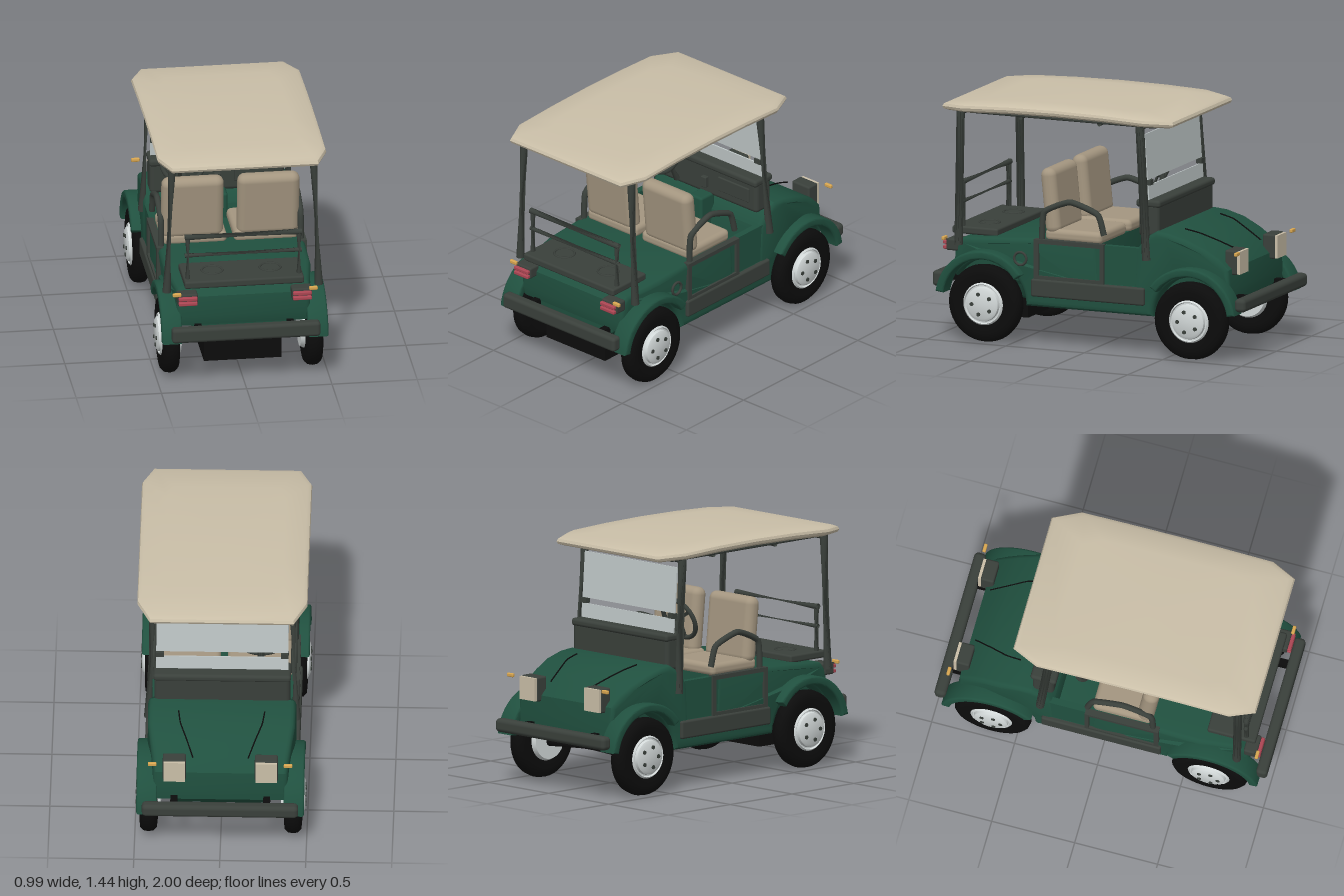
import * as THREE from 'three';
import { toCreasedNormals } from 'three/addons/utils/BufferGeometryUtils.js';
import { RoundedBoxGeometry } from 'three/addons/geometries/RoundedBoxGeometry.js';

const paint = (name, color, side = THREE.FrontSide) => {
  const m = new THREE.MeshStandardMaterial({ color, side });
  m.name = name;
  return m;
};

export function createModel() {
  const green = paint('green paint', 0x20503f);
  const dark = paint('dark trim', 0x3a403b, THREE.DoubleSide);
  const black = paint('black rubber', 0x0c0c0c);
  const cream = paint('cream roof', 0xcabfa8);
  const tan = paint('tan seat', 0xa49680);
  const silver = paint('silver rim', 0xd2d8d8);
  const glass = paint('pale glass', 0xc0c8c8, THREE.DoubleSide);
  const red = paint('red lamp', 0xac4653);
  const amber = paint('amber lamp', 0xd8a650);
  const cart = new THREE.Group();
  cart.name = 'golfCart';

  const add = (name, geo, mat, parent = cart) => {
    const m = new THREE.Mesh(geo, mat);
    m.name = name;
    parent.add(m);
    return m;
  };
  // Box given by its limits, optionally rounded
  const box = (name, mat, x0, x1, y0, y1, z0, z1, r = 0) => {
    const s = [Math.abs(x1 - x0), y1 - y0, z1 - z0];
    const m = add(name, r ? new RoundedBoxGeometry(...s, 3, r) : new THREE.BoxGeometry(...s), mat);
    m.position.set((x0 + x1) / 2, (y0 + y1) / 2, (z0 + z1) / 2);
    return m;
  };
  // Round bar through points
  const rod = (name, mat, pts, r, sides = 10) => {
    const c = new THREE.CatmullRomCurve3(pts.map(p => new THREE.Vector3(...p)), false, 'catmullrom', 0.25);
    return add(name, new THREE.TubeGeometry(c, pts.length > 2 ? 28 : 1, r, sides), mat);
  };
  // Side outline (z, y) swept across x, centred at cx
  const sweep = (shape, cx, width, bevel = 0) => {
    const g = new THREE.ExtrudeGeometry(shape, {
      depth: width - 2 * bevel, bevelEnabled: bevel > 0, bevelThickness: bevel,
      bevelSize: bevel, bevelOffset: -bevel, bevelSegments: 3, curveSegments: 20,
    });
    return g.rotateY(-Math.PI / 2).translate(cx + width / 2 - bevel, 0, 0);
  };
  // Narrow the body toward nose, tail and underside
  const taper = g => {
    const p = g.attributes.position;
    for (let i = 0; i < p.count; i++) {
      const y = p.getY(i), z = p.getZ(i);
      let f = 1 - 0.09 * THREE.MathUtils.smoothstep(Math.abs(z), 0.55, 0.88);
      if (Math.abs(z) > 0.45 && y < 0.36) f *= 1 - 2.2 * (0.36 - y);
      p.setX(i, p.getX(i) * f);
    }
    return toCreasedNormals(g, 0.6);
  };

  // Body shell with wheel arches, and the core between the wheels
  const shell = new THREE.Shape();
  shell.moveTo(-0.4, 0.235);
  shell.lineTo(0.41, 0.235);
  shell.absarc(0.66, 0.235, 0.25, Math.PI, 0.57, true);
  [[0.885, 0.43], [0.875, 0.55], [0.83, 0.6], [0.6, 0.625], [0.35, 0.64], [-0.05, 0.635], [-0.06, 0.42],
    [-0.28, 0.42], [-0.29, 0.62], [-0.35, 0.7], [-0.42, 0.742], [-0.5, 0.735], [-0.61, 0.705], [-0.72, 0.655],
    [-0.8, 0.605], [-0.865, 0.54], [-0.875, 0.42]].forEach(p => shell.lineTo(...p));
  shell.absarc(-0.65, 0.235, 0.25, 2.65, 0, true);
  add('bodyShell', taper(sweep(shell, 0, 0.86, 0.03)), green);
  const core = new THREE.Shape([[-0.8, 0.28], [-0.5, 0.245], [0.5, 0.245], [0.8, 0.26], [0.865, 0.34], [0.87, 0.54],
    [0.4, 0.58], [-0.04, 0.58], [-0.05, 0.4], [-0.3, 0.4], [-0.32, 0.6], [-0.6, 0.65], [-0.84, 0.5],
    [-0.86, 0.36]].map(p => new THREE.Vector2(...p)));
  add('bodyCore', taper(sweep(core, 0, 0.68, 0.015)), green);
  box('engineBox', black, -0.23, 0.225, 0.125, 0.3, 0.48, 0.84);
  box('centreConsole', green, -0.05, 0.05, 0.42, 0.72, -0.32, -0.2, 0.015);

  // Wheels on two axles
  const tyre = new THREE.LatheGeometry([[0.125, -0.045], [0.17, -0.052], [0.205, -0.048], [0.224, -0.03], [0.23, 0],
    [0.224, 0.03], [0.205, 0.048], [0.17, 0.052], [0.125, 0.045], [0.125, -0.045]]
    .map(p => new THREE.Vector2(...p)), 40);
  const rim = new THREE.LatheGeometry([[0, -0.07], [0.115, -0.07], [0.126, -0.05], [0.126, 0.045], [0.117, 0.055],
    [0.112, 0.045], [0.104, 0.045], [0.1, 0.062], [0.085, 0.07], [0, 0.07]]
    .map(p => new THREE.Vector2(...p)), 40);
  const rimSharp = toCreasedNormals(rim, 0.6), tyreSharp = toCreasedNormals(tyre, 0.7);
  for (const z of [-0.65, 0.66]) {
    rod('axle', black, [[-0.37, 0.225, z], [0.37, 0.225, z]], 0.03);
    for (const s of [-1, 1]) {
      const w = new THREE.Group();
      w.name = 'wheel';
      w.position.set(s * 0.42, 0.235, z);
      w.rotation.z = -s * Math.PI / 2;
      add('tyre', tyreSharp, black, w);
      add('rim', rimSharp, silver, w);
      for (let i = 0; i < 5; i++) {
        const a = i * Math.PI * 0.4 + 0.3;
        add('wheelNut', new THREE.CylinderGeometry(0.012, 0.012, 0.012, 8), dark, w)
          .position.set(Math.cos(a) * 0.062, 0.07, Math.sin(a) * 0.062);
      }
      cart.add(w);
    }
  }

  // Fenders, side panels, posts and arm rails on each side
  for (const s of [-1, 1]) {
    for (const [z, a0, a1] of [[-0.65, 0.62, 3.0], [0.66, 0.14, 2.52]]) {
      const arch = new THREE.Shape();
      arch.absarc(z, 0.25, 0.3, a0, a1, false);
      arch.absarc(z, 0.25, 0.25, a1, a0, true);
      add('fender', toCreasedNormals(sweep(arch, s * 0.428, 0.12, 0.012), 0.6), green);
    }
    box('sidePanel', green, s * 0.385, s * 0.425, 0.4, 0.635, -0.335, 0.34);
    const frame = new THREE.Shape([[-0.095, 0.405], [0.35, 0.405], [0.35, 0.64], [-0.095, 0.64]]
      .map(p => new THREE.Vector2(...p)));
    frame.holes.push(new THREE.Path([[-0.07, 0.425], [-0.07, 0.615], [0.32, 0.615], [0.32, 0.425]]
      .map(p => new THREE.Vector2(...p))));
    add('panelFrame', sweep(frame, s * 0.42, 0.04), dark);
    box('sideStep', dark, s * 0.39, s * 0.45, 0.3, 0.405, -0.355, 0.365, 0.012);
    rod('rearPost', dark, [[s * 0.446, 0.57, 0.825], [s * 0.415, 1.37, 0.825]], 0.025);
    rod('frontPost', dark, [[s * 0.43, 0.57, -0.365], [s * 0.405, 1.37, -0.31]], 0.026);
    rod('armRail', dark, [[s * 0.41, 0.63, 0.31], [s * 0.41, 0.8, 0.295], [s * 0.41, 0.87, 0.13],
      [s * 0.41, 0.81, -0.045], [s * 0.41, 0.69, -0.085]], 0.018);

    // Seat cushion and leaning backrest
    box('seatCushion', tan, s * 0.02, s * 0.4, 0.625, 0.7, -0.06, 0.3, 0.03);
    const back = box('seatBack', tan, s * 0.04, s * 0.405, 0.665, 1.055, 0.222, 0.318, 0.045);
    back.rotation.x = 0.1;

    // Lamps
    box('headlampHousing', dark, s * 0.2, s * 0.335, 0.505, 0.65, -0.9, -0.82, 0.012);
    box('headlampLens', cream, s * 0.205, s * 0.33, 0.51, 0.645, -0.915, -0.898);
    box('frontMarker', amber, s * 0.37, s * 0.42, 0.633, 0.655, -0.935, -0.915, 0.006);
    box('tailLampHousing', dark, s * 0.275, s * 0.395, 0.52, 0.59, 0.85, 0.93, 0.012);
    for (const y of [0.535, 0.565])
      box('tailLamp', red, s * 0.28, s * 0.39, y - 0.01, y + 0.012, 0.925, 0.95, 0.006);
    box('rearMarker', amber, s * 0.375, s * 0.425, 0.583, 0.605, 0.925, 0.945, 0.006);
    rod('markerStem', dark, [[s * 0.36, 0.57, 0.86], [s * 0.4, 0.59, 0.935]], 0.005, 6);

    // Hood creases, screen clips and bumper brackets
    rod('hoodCrease', black, [[s * 0.16, 0.622, -0.83], [s * 0.2, 0.675, -0.72], [s * 0.238, 0.718, -0.62],
      [s * 0.25, 0.738, -0.53]], 0.004, 6);
    box('screenClip', dark, s * 0.34, s * 0.385, 1.005, 1.035, -0.37, -0.335);
    box('rearBracket', black, s * 0.25, s * 0.29, 0.33, 0.38, 0.8, 0.96);
    box('frontBracket', black, s * 0.25, s * 0.29, 0.33, 0.38, -0.96, -0.8);
  }
  box('rearBumper', dark, -0.435, 0.435, 0.31, 0.4, 0.935, 1, 0.02);
  box('frontBumper', dark, -0.455, 0.455, 0.31, 0.39, -1, -0.93, 0.025);

  // Fuel cap
  const cap = add('fuelCap', new THREE.TorusGeometry(0.038, 0.008, 8, 24), dark);
  cap.position.set(0.428, 0.515, 0.44);
  cap.rotation.y = Math.PI / 2;

  // Rear tray with cup rings and rail
  box('rearTray', dark, -0.35, 0.35, 0.615, 0.66, 0.62, 0.91, 0.012);
  for (const x of [-0.17, 0.17]) {
    const ring = add('cupRing', new THREE.TorusGeometry(0.06, 0.007, 6, 28), dark);
    ring.position.set(x, 0.66, 0.75);
    ring.rotation.x = Math.PI / 2;
    rod('railUpright', dark, [[x * 1.92, 0.64, 0.85], [x * 1.92, 0.92, 0.85]], 0.016);
  }
  for (const [y, r] of [[0.92, 0.018], [0.805, 0.013]])
    rod('railBar', dark, [[-0.342, y, 0.85], [0.342, y, 0.85]], r);

  // Dashboard, glove box and selector
  box('dashboard', dark, -0.395, 0.395, 0.7, 0.9, -0.425, -0.295, 0.025);
  box('dashTop', dark, -0.4, 0.4, 0.875, 0.92, -0.435, -0.28, 0.018);
  box('gloveBox', dark, 0.1, 0.34, 0.76, 0.85, -0.3, -0.285, 0.006);
  box('selector', dark, -0.02, 0.02, 0.75, 0.82, -0.3, -0.27, 0.006);

  // Steering wheel and column
  const steer = new THREE.Group();
  steer.name = 'steeringWheel';
  steer.position.set(-0.22, 0.96, -0.155);
  steer.rotation.x = -0.4;
  add('steeringRim', new THREE.TorusGeometry(0.125, 0.014, 10, 36), dark, steer);
  add('steeringHub', new THREE.SphereGeometry(0.03, 14, 10), dark, steer);
  for (let i = 0; i < 3; i++) {
    const spoke = add('steeringSpoke', new THREE.BoxGeometry(0.12, 0.02, 0.01).translate(0.06, 0, 0), dark, steer);
    spoke.rotation.z = -Math.PI / 2 + i * Math.PI * 2 / 3;
  }
  cart.add(steer);
  rod('steeringColumn', dark, [[-0.22, 0.96, -0.16], [-0.22, 0.73, -0.29]], 0.02);

  // Split windscreen
  for (const [name, y0, y1, z] of [['upperScreen', 1.035, 1.305, -0.34], ['lowerScreen', 0.9, 1.003, -0.357]])
    box(name, glass, -0.385, 0.385, y0, y1, z - 0.004, z + 0.004).rotation.x = 0.07;

  // Roof: crowned rings over an eight-sided outline, with frame below
  const half = [[0.42, -0.53], [0.495, -0.37], [0.495, -0.1], [0.495, 0.2], [0.495, 0.5], [0.495, 0.79], [0.43, 0.935]];
  const outline = [...half, ...half.map(([x, z]) => [-x, z]).reverse()];
  const rings = [[0, 1.378], [0.95, 1.378], [0.99, 1.39], [1, 1.405], [0.99, 1.42], [0.95, 1.431], [0.7, 1.437], [0, 1.44]];
  const pos = [], idx = [], n = outline.length;
  rings.forEach(([k, y], r) => outline.forEach(([x, z], i) => {
    const dz = (z - 0.2) * k;
    pos.push(x * k, y - 0.025 * (dz / 0.735) ** 2, 0.2 + dz);
    if (r === rings.length - 1) return;
    const a = r * n + i, b = r * n + (i + 1) % n;
    idx.push(a, a + n, b, b, a + n, b + n);
  }));
  const roof = new THREE.BufferGeometry();
  roof.setAttribute('position', new THREE.Float32BufferAttribute(pos, 3));
  roof.setIndex(idx);
  add('roof', toCreasedNormals(roof, 0.6), cream);
  box('roofLining', dark, -0.43, 0.43, 1.352, 1.375, -0.42, 0.85, 0.008);
  for (const z of [-0.32, -0.05, 0.45, 0.825])
    rod('roofCrossBar', dark, [[-0.4, 1.345, z], [0.4, 1.345, z]], 0.013);

  return cart;
}
